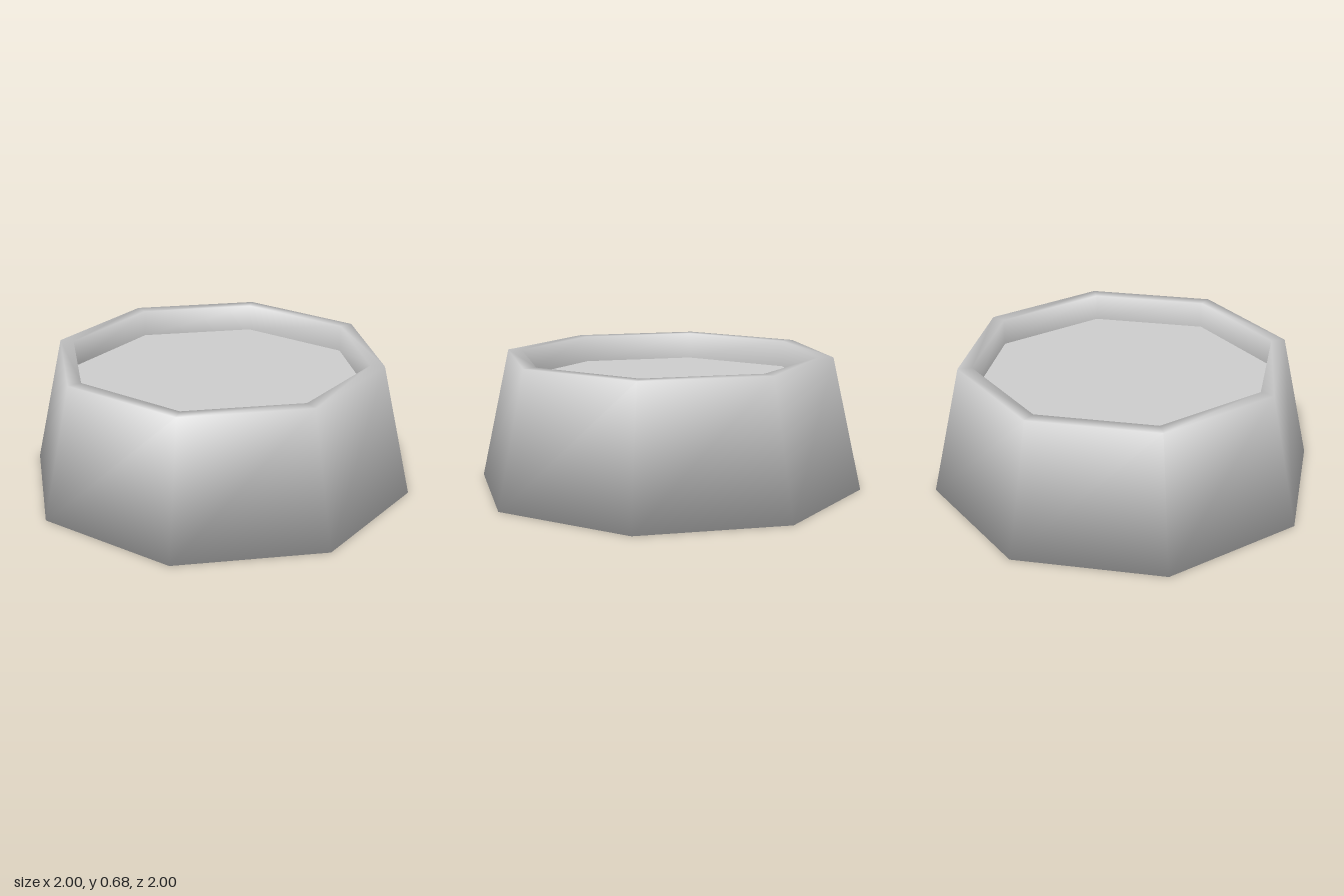
import * as THREE from 'three';

const SIDES = 8;
const FLOOR_Y = 0.54;
const INNER_R = 0.775;

// Closed shell swept through octagonal rings; each ring is [radius, y, outward normal, upward normal].
function shellGeometry(rings) {
  const positions = [], normals = [], index = [];
  for (const [r, y, out, up] of rings) {
    const n = Math.hypot(out, up);
    for (let k = 0; k < SIDES; k++) {
      const a = (k / SIDES) * Math.PI * 2;
      positions.push(r * Math.sin(a), y, r * Math.cos(a));
      normals.push((out / n) * Math.sin(a), up / n, (out / n) * Math.cos(a));
    }
  }
  // walls and rim
  for (let i = 0; i < rings.length - 1; i++) {
    for (let k = 0; k < SIDES; k++) {
      const next = (k + 1) % SIDES;
      const a = i * SIDES + k, b = i * SIDES + next;
      index.push(a, b, b + SIDES, a, b + SIDES, a + SIDES);
    }
  }
  // flat underside, sharing the softened normals of the foot
  for (let k = 1; k < SIDES - 1; k++) index.push(0, k + 1, k);

  const geometry = new THREE.BufferGeometry();
  geometry.setAttribute('position', new THREE.Float32BufferAttribute(positions, 3));
  geometry.setAttribute('normal', new THREE.Float32BufferAttribute(normals, 3));
  geometry.setIndex(index);
  return geometry;
}

export function createModel() {
  const group = new THREE.Group();
  group.name = 'bowl';
  const material = new THREE.MeshStandardMaterial({ color: 0xcccccc });

  // Tapered outer wall, flat rim and vertical inner wall
  const shell = new THREE.Mesh(shellGeometry([
    [1, 0, 1, -1],
    [0.847, 0.68, 1, 1],
    [INNER_R, 0.68, -1, 1],
    [INNER_R, FLOOR_Y, -1, 0],
  ]), material);
  shell.name = 'bowlShell';
  group.add(shell);

  // Flat surface inside the bowl
  const floor = new THREE.Mesh(new THREE.CircleGeometry(INNER_R, SIDES).rotateX(-Math.PI / 2), material);
  floor.position.y = FLOOR_Y;
  floor.name = 'bowlFloor';
  group.add(floor);

  return group;
}
